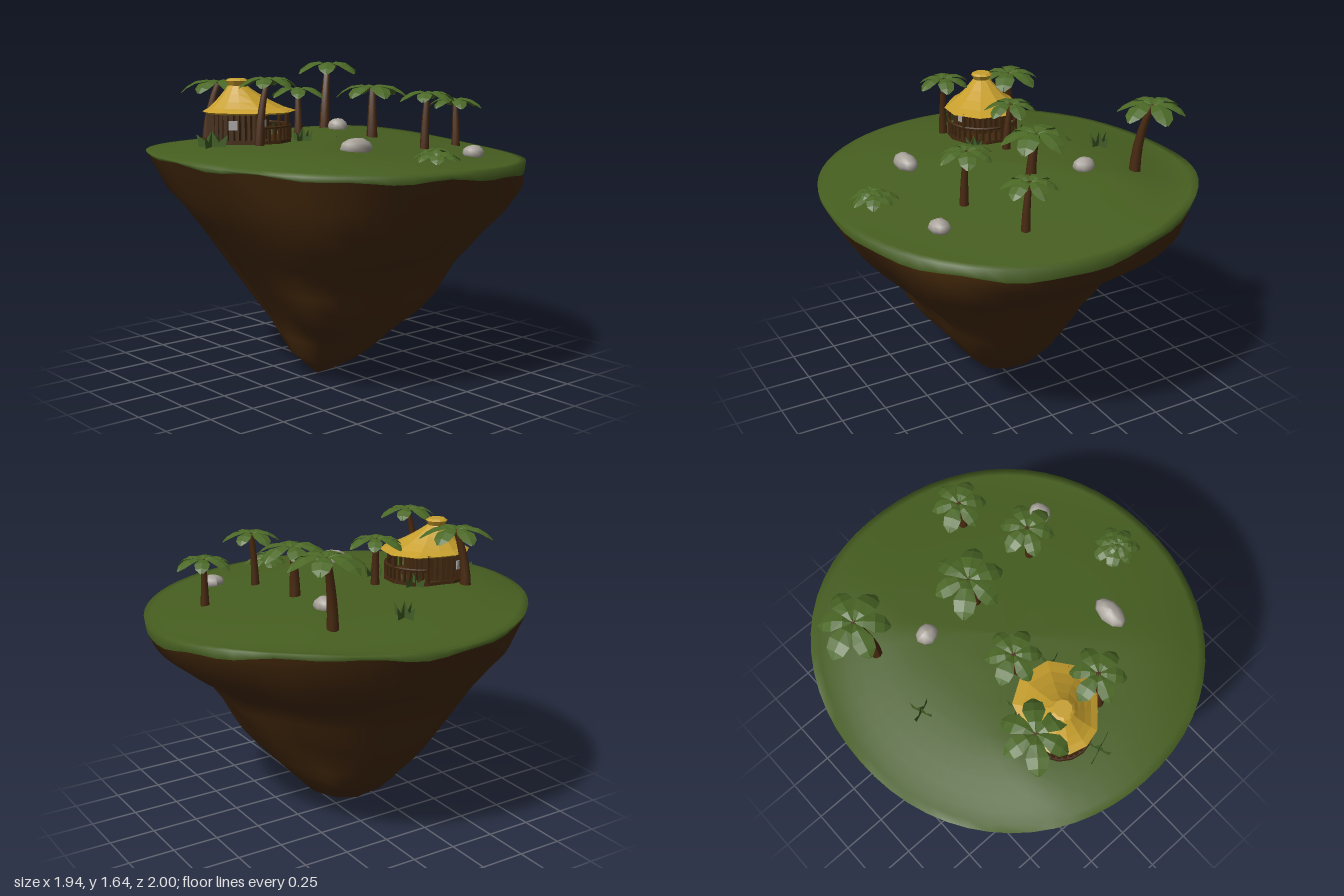
import * as THREE from 'three';

const mat = (name, color, extra = {}) =>
  Object.assign(new THREE.MeshStandardMaterial({ color, ...extra }), { name });

const TAU = Math.PI * 2;

// Skin closed rings of points, listed from the top (or centre) outwards and down.
function loft(rows, n, point) {
  const pos = [], idx = [];
  rows.forEach((row, i) => {
    for (let j = 0; j < n; j++) pos.push(...point(row, (j / n) * TAU, i));
  });
  for (let i = 0; i < rows.length - 1; i++) {
    for (let j = 0; j < n; j++) {
      const a = i * n + j, b = i * n + ((j + 1) % n);
      idx.push(a, b, a + n, b, b + n, a + n);
    }
  }
  const g = new THREE.BufferGeometry();
  g.setAttribute('position', new THREE.Float32BufferAttribute(pos, 3));
  g.setIndex(idx);
  g.computeVertexNormals();
  return g;
}

// Slightly squared circle
const squircle = (a, p) => {
  const c = Math.cos(a), s = Math.sin(a);
  const f = Math.pow(Math.abs(c) ** p + Math.abs(s) ** p, -1 / p);
  return [c * f, s * f];
};

// Island rim and ground height: the back left corner is raised, the front right one dips
const backLeft = (x, z) => Math.max(0, (-x - z) * 0.707) ** 4;
const frontRight = (x, z) => Math.max(0, (x + z) * 0.707) ** 4;
const rimY = (x, z) => 1.193 + 0.037 * z + 0.075 * backLeft(x, z) - 0.02 * frontRight(x, z);
function groundY(x, z) {
  const r = Math.min(1, Math.hypot(x / 0.97, z));
  const slope = Math.max(0, (x - z) * 0.707) * 0.11 + Math.max(0, -x - 0.4) * 0.12;
  const k = Math.pow(Math.max(0, (r - 0.55) / 0.45), 2.5);
  return THREE.MathUtils.lerp(1.28 - slope, rimY(x, z), k);
}
const skirtPoint = (a) => {
  const [c, s] = squircle(a, 2.1);
  const x = 0.965 * c, z = 0.99 * s;
  const jag = 0.007 * Math.sin(a * 13) + 0.005 * Math.sin(a * 7 + 1);
  const drop = 0.014 + 0.028 * (1 - z) - 0.035 * backLeft(x, z);
  return [x, rimY(x, z) - drop + jag, z];
};

export function createModel() {
  const model = new THREE.Group();
  model.name = 'floatingIsland';
  const M = {
    grass: mat('grass', 0x465e20),
    earth: mat('earth', 0x45290b),
    leaf: mat('palm leaf', 0x4b6826, { flatShading: true, side: THREE.DoubleSide }),
    trunk: mat('palm trunk', 0x492a10),
    thatch: mat('thatch', 0xc79f2d, { flatShading: true, side: THREE.DoubleSide }),
    wood: mat('dark wood', 0x42280f, { flatShading: true }),
    stone: mat('stone', 0xa8a29a),
    glass: mat('window', 0xa3a5a3),
    tuft: mat('grass tuft', 0x405c25, { side: THREE.DoubleSide }),
  };
  const add = (parent, name, geo, material, x = 0, y = 0, z = 0) => {
    const m = new THREE.Mesh(geo, material);
    m.name = name;
    m.position.set(x, y, z);
    parent.add(m);
    return m;
  };

  // Grass cap with a ragged hanging edge
  const caps = [0.001, 0.2, 0.4, 0.55, 0.65, 0.75, 0.83, 0.9, 0.96, 1, 'skirt'];
  add(model, 'grassCap', loft(caps, 60, (r, a) => {
    if (r === 'skirt') return skirtPoint(a);
    const [c, s] = squircle(a, 2.1);
    const x = 0.97 * r * c, z = r * s;
    return [x, groundY(x, z), z];
  }), M.grass);

  // Earth cone: y, xMin, xMax, zMin, zMax
  const sections = [
    null,
    [1.02, -0.88, 0.89, -0.945, 0.89],
    [0.9, -0.76, 0.81, -0.8, 0.8],
    [0.79, -0.66, 0.72, -0.645, 0.715],
    [0.7, -0.61, 0.63, -0.595, 0.645],
    [0.62, -0.57, 0.55, -0.54, 0.58],
    [0.53, -0.525, 0.48, -0.485, 0.51],
    [0.45, -0.485, 0.43, -0.425, 0.45],
    [0.35, -0.42, 0.37, -0.355, 0.38],
    [0.28, -0.355, 0.315, -0.3, 0.335],
    [0.22, -0.3, 0.27, -0.245, 0.31],
    [0.13, -0.2, 0.2, -0.16, 0.28],
    [0.07, -0.1, 0.13, -0.06, 0.22],
    [0.03, -0.045, 0.07, 0.07, 0.18],
    [0, -0.002, 0.002, 0.138, 0.142],
  ];
  const lobe = (a, at, w) => Math.exp(-(((1 - Math.cos(a - at)) * 2) / (w * w)));
  add(model, 'earthCone', loft(sections, 60, (s, a) => {
    if (!s) return skirtPoint(a);
    const [y, x0, x1, z0, z1] = s, [c, q] = squircle(a, 2.25);
    const mid = Math.sin(Math.PI * Math.min(1, y / 1.1));
    const low = Math.exp(-(((y - 0.4) / 0.14) ** 2));
    const shape = 1 + mid * (0.13 * lobe(a, -0.8, 0.3) + 0.11 * lobe(a, 0.8, 0.35) + 0.06 * lobe(a, 2.5, 0.25)
      - 0.09 * lobe(a, 2.05, 0.2) - 0.07 * lobe(a, -0.3, 0.16) - 0.09 * lobe(a, -2.1, 0.25) - 0.06 * lobe(a, -2.4, 0.5))
      + low * (0.12 * lobe(a, -0.8, 0.3) + 0.22 * lobe(a, 0.8, 0.35) - 0.1 * lobe(a, -2.36, 0.45));
    return [(x0 + x1) / 2 + ((x1 - x0) / 2) * c * shape, y, (z0 + z1) / 2 + ((z1 - z0) / 2) * q * shape];
  }), M.earth);

  // Palm leaf: broad arched blade with a slight midrib, pointing along +x, unit length
  const blade = [[0, 0.03, 0], [0.28, 0.16, 0.09], [0.58, 0.28, 0.05], [0.82, 0.23, -0.09], [0.97, 0.04, -0.24]];
  const leafGeo = new THREE.PlaneGeometry(1, 1, 2, 4);
  blade.forEach(([x, w, y], i) => {
    for (let k = 0; k < 3; k++) {
      leafGeo.attributes.position.setXYZ(i * 3 + k, x, k === 1 ? y + 0.02 : y - w * 0.13, (k - 1) * w);
    }
  });
  leafGeo.computeVertexNormals();

  function crown(parent, x, y, z, size, turn, count = 6) {
    for (let i = 0; i < count; i++) {
      const leaf = add(parent, 'leaf', leafGeo, M.leaf, x, y, z);
      leaf.scale.setScalar(size * (1 + 0.07 * Math.sin(i * 2.3 + turn)));
      leaf.rotation.y = turn + (i / count) * TAU + 0.1 * Math.sin(i * 3.1);
    }
  }

  // Palms: base x, z, crown x, y, z, crown radius, turn
  const palms = [
    [-0.555, -0.37, -0.6, 1.62, -0.43, 0.19, 0.3],
    [0.0, -0.25, -0.02, 1.52, -0.27, 0.19, 0.7],
    [0.39, -0.27, 0.385, 1.51, -0.29, 0.15, 0.1],
    [0.255, -0.64, 0.24, 1.45, -0.645, 0.15, 0.5],
    [0.085, 0.57, 0.095, 1.6, 0.525, 0.15, 0.2],
    [-0.345, 0.59, -0.315, 1.565, 0.54, 0.185, 0.9],
    [-0.1, 0.18, -0.12, 1.525, 0.17, 0.15, 0.4],
  ];
  for (const [bx, bz, cx, cy, cz, size, turn] of palms) {
    const palm = new THREE.Group();
    palm.name = 'palmTree';
    const by = groundY(bx, bz) - 0.015;
    const k = size / 0.19;
    const trunk = new THREE.CylinderGeometry(0.017 * k, 0.031 * k, 1, 8, 5);
    const p = trunk.attributes.position;
    for (let i = 0; i < p.count; i++) {
      const t = p.getY(i) + 0.5, bend = t * t;
      p.setXYZ(i, bx + (cx - bx) * bend + p.getX(i), by + (cy + 0.005 - by) * t, bz + (cz - bz) * bend + p.getZ(i));
    }
    trunk.computeVertexNormals();
    add(palm, 'trunk', trunk, M.trunk);
    crown(palm, cx, cy, cz, size, turn);
    model.add(palm);
  }

  // Low bush
  const bush = new THREE.Group();
  bush.name = 'bush';
  crown(bush, 0.75, 1.25, 0, 0.125, 0.2, 7);
  crown(bush, 0.76, 1.275, 0.01, 0.08, 0.6, 5);
  model.add(bush);

  // Boulders: x, y, z, radii
  [[0.46, 1.28, 0.26, 0.056, 0.048, 0.098], [0.6, 1.215, -0.42, 0.052, 0.04, 0.062], [-0.31, 1.295, -0.265, 0.06, 0.045, 0.054]]
    .forEach(([x, y, z, a, b, c], i) => {
      const g = new THREE.SphereGeometry(1, 9, 6);
      const p = g.attributes.position;
      for (let j = 0; j < p.count; j++) {
        const f = 1 + 0.06 * Math.sin(p.getX(j) * 4 + i) * Math.cos(p.getZ(j) * 5 + i);
        p.setXYZ(j, p.getX(j) * a * f, p.getY(j) * b * f, p.getZ(j) * c * f);
      }
      g.computeVertexNormals();
      add(model, 'boulder', g, M.stone, x, y, z);
    });

  // Spiky grass tufts made of crossed zigzag plates: x, z, width, height
  const spikes = new THREE.Shape([[-0.05, 0], [-0.06, 0.06], [-0.026, 0.03], [0, 0.08], [0.026, 0.03], [0.06, 0.065], [0.05, 0]]
    .map(([x, y]) => new THREE.Vector2(x, y)));
  const tuftGeo = new THREE.ShapeGeometry(spikes);
  for (const [x, z, w, h] of [[-0.59, 0.02, 1.05, 1.2], [-0.075, 0.745, 1.6, 1.15], [-0.23, 0.33, 1.3, 1], [0.05, 0.27, 1, 1]]) {
    for (let i = 0; i < 2; i++) {
      const t = add(model, 'grassTuft', tuftGeo, M.tuft, x, groundY(x, z) - 0.01, z);
      t.rotation.y = 0.35 + i * Math.PI / 2;
      t.scale.set(i ? Math.min(w, 1.05) : w, h, 1);
    }
  }

  // Hut, with a porch stretching towards one side
  const hut = new THREE.Group();
  hut.name = 'hut';
  hut.position.set(-0.145, 0, 0.54);
  model.add(hut);
  const porchDir = -1.1;
  const reach = (a) => 0.178 + 0.125 * Math.max(0, Math.cos(a - porchDir));
  const ring = (a, r, y) => [r * Math.cos(a), y, r * Math.sin(a)];

  // Thatched roof with a flared cap
  add(hut, 'roof', loft([0, 0.25, 0.5, 0.75, 1, 0.93], 12, (t, a, i) => i === 5
    ? ring(a, reach(a) * 0.9, 1.425)
    : ring(a, 0.045 + (reach(a) - 0.045) * t, 1.435 + 0.13 * Math.pow(1 - t, 1.35))), M.thatch);
  add(hut, 'roofCap', new THREE.CylinderGeometry(0.058, 0.042, 0.026, 10), M.thatch, 0, 1.576, 0);
  add(hut, 'roofTip', new THREE.CylinderGeometry(0.045, 0.058, 0.01, 10), M.thatch, 0, 1.594, 0);

  // Floor deck
  add(hut, 'deck', loft([[0.001, 1.297], [0.93, 1.297], [0.93, 1.262]], 16,
    ([t, y], a) => ring(a, reach(a) * t, y)), M.wood);

  // Log wall
  add(hut, 'wall', new THREE.CylinderGeometry(0.15, 0.15, 0.15, 16), M.wood, 0, 1.362, 0);
  const log = new THREE.CylinderGeometry(0.013, 0.013, 0.15, 5);
  for (let i = 0; i < 32; i++) add(hut, 'wallLog', log, M.wood, ...ring((i / 32) * TAU, 0.147, 1.362));

  // Windows
  for (const a of [0.75, -0.3, 2.9]) {
    const w = add(hut, 'window', new THREE.BoxGeometry(0.045, 0.045, 0.008), M.glass, ...ring(a, 0.162, 1.375));
    w.rotation.y = Math.PI / 2 - a;
  }

  // Porch railing and roof posts
  const picket = new THREE.BoxGeometry(0.013, 0.075, 0.013);
  const post = new THREE.BoxGeometry(0.016, 0.15, 0.016);
  const railPoints = [];
  for (let i = 0; i <= 18; i++) {
    const a = porchDir - 1.2 + (i / 18) * 2.4, r = reach(a) * 0.88;
    const isPost = i % 6 === 0;
    add(hut, isPost ? 'porchPost' : 'picket', isPost ? post : picket, M.wood, ...ring(a, r, isPost ? 1.365 : 1.328));
    railPoints.push(new THREE.Vector3(...ring(a, r, 1.362)));
  }
  add(hut, 'handrail', new THREE.TubeGeometry(new THREE.CatmullRomCurve3(railPoints), 28, 0.008, 5), M.wood);

  return model;
}
